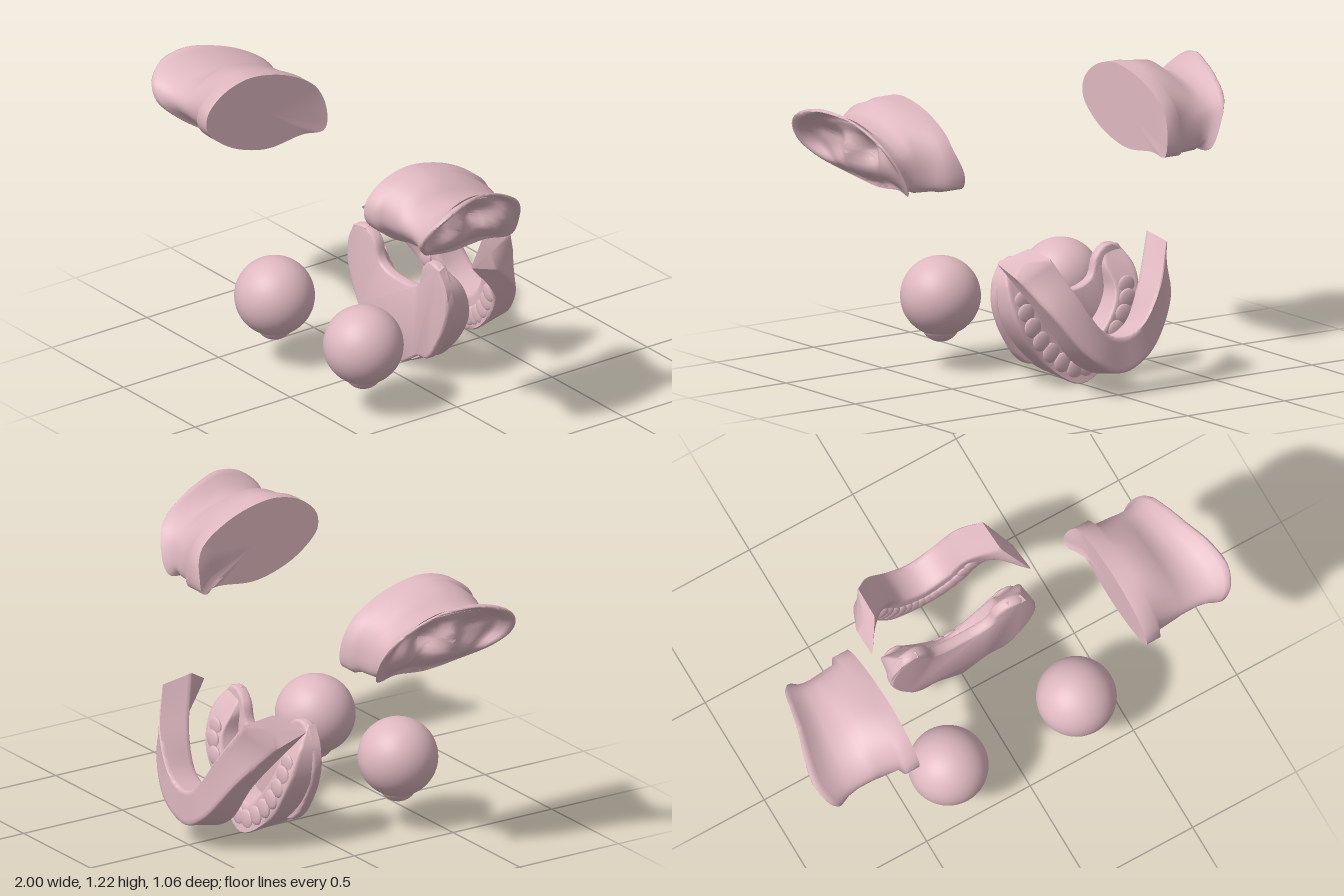
import * as THREE from 'three';
import { toCreasedNormals } from 'three/addons/utils/BufferGeometryUtils.js';

const V = (x, y, z) => new THREE.Vector3(x, y, z);
const { lerp, smoothstep } = THREE.MathUtils;
const skin = new THREE.MeshStandardMaterial({ color: 0xdfb8c1 });

// Closed skin over a list of rings, capped at both ends and wound outwards
function loft(rings, crease) {
  const n = rings[0].length, last = rings.length - 1;
  const pts = rings.flat();
  const centre = (r) => r.reduce((a, p) => a.add(p), V(0, 0, 0)).divideScalar(n);
  pts.push(centre(rings[0]), centre(rings[last]));
  const idx = [];
  for (let j = 0; j < n; j++) {
    const k = (j + 1) % n;
    for (let i = 0; i < last; i++) {
      const a = i * n + j, b = i * n + k;
      idx.push(a, b, a + n, b, b + n, a + n);
    }
    idx.push(pts.length - 2, k, j, pts.length - 1, last * n + j, last * n + k);
  }
  let volume = 0;
  for (let i = 0; i < idx.length; i += 3) {
    volume += pts[idx[i]].dot(pts[idx[i + 1]].clone().cross(pts[idx[i + 2]]));
  }
  if (volume < 0) idx.reverse();
  const g = new THREE.BufferGeometry().setFromPoints(pts);
  g.setIndex(idx);
  return toCreasedNormals(g, crease);
}

function add(parent, name, geometry) {
  const m = new THREE.Mesh(geometry, skin);
  m.name = name;
  parent.add(m);
  return m;
}

// Ear: flat inner plate, groove behind the shell, flaring rim, folded bowl
function earGeometry(side) {
  const rim = new THREE.CatmullRomCurve3([
    [0.97, 1.11, 0.505], [1.0, 1.18, 0.43], [0.98, 1.215, 0.31], [0.94, 1.2, 0.18],
    [0.91, 1.155, 0.06], [0.88, 1.085, -0.04], [0.83, 0.99, -0.085], [0.78, 0.885, -0.075],
    [0.75, 0.885, 0.04], [0.74, 0.87, 0.2], [0.78, 0.905, 0.34], [0.87, 0.97, 0.45],
    [0.93, 1.04, 0.51],
  ].map((p) => V(...p)), true).getSpacedPoints(96).slice(0, -1);
  const hill = (z, y, cz, cy, rz, ry) => Math.exp(-(((z - cz) / rz) ** 2) - ((y - cy) / ry) ** 2);
  // s scales the outline along z; top and low scale its upper and lower half
  const ring = (s, fx, { bumps = 0, top = s, low = s } = {}) => rim.map((p) => {
    const z = lerp(0.2, p.z, s), y = lerp(1.04, p.y, p.y > 1.04 ? top : low);
    // tragus, inner fold, lobe swelling and the hollows between them
    const fold = 0.05 * hill(z, y, 0.26, 0.95, 0.1, 0.06) + 0.06 * hill(z, y, 0.25, 1.05, 0.05, 0.06)
      + 0.04 * hill(z, y, 0.03, 1.0, 0.06, 0.08) - 0.05 * hill(z, y, 0.14, 1.04, 0.06, 0.05)
      - 0.02 * hill(z, y, 0.37, 1.1, 0.07, 0.04);
    return V(side * (fx(p.x, z, y) + bumps * fold), y, z);
  });
  const inner = (d, t) => (x) => lerp(x - d * smoothstep(x, 0.8, 0.95), 0.81, t);
  const bump = side > 0 ? 0.045 : 0.012;
  return loft([
    ring(0.75, () => 0.55),
    ring(1.04, (x, z, y) => 0.55 - bump * smoothstep(-z, 0, 0.08) * smoothstep(-y, -1.08, -0.92),
      { top: 1.03, low: 1 }),
    ring(1.04, () => 0.615, { top: 1.03, low: 1 }),
    ring(0.94, () => 0.63, { top: 1.02, low: 0.99 }),
    ring(0.91, () => 0.72, { top: 0.98, low: 0.97 }),
    ring(0.9, (x) => lerp(0.73, x, 0.1), { top: 0.74, low: 0.94 }),
    ring(0.9, (x) => lerp(0.73, x, 0.45), { top: 0.62 }),
    ring(0.93, (x) => lerp(0.73, x, 0.7), { top: 0.72 }),
    ring(0.98, (x) => lerp(0.73, x, 0.87), { top: 0.92 }),
    ring(1.0, (x) => lerp(0.73, x, 0.96)),
    ring(0.98, (x) => x),
    ring(0.94, (x) => x),
    ring(0.89, inner(0.02, 0), { bumps: 0.2 }),
    ring(0.84, inner(0.06, 0.02), { bumps: 0.5 }),
    ring(0.78, inner(0.07, 0.12), { bumps: 0.8 }),
    ring(0.7, inner(0.06, 0.28), { bumps: 1 }),
    ring(0.6, inner(0.05, 0.45), { bumps: 1 }),
    ring(0.48, inner(0.05, 0.68), { bumps: 1 }),
    ring(0.36, inner(0.05, 0.85), { bumps: 1 }),
    ring(0.22, inner(0.05, 0.95), { bumps: 1 }),
    ring(0.08, inner(0.05, 1), { bumps: 1 }),
  ], 1.2);
}

// Curved jaw bar: four rails from the middle to one tip, mirrored to the other
function jaw(sections) {
  const whole = [
    ...sections.slice(1).reverse().map((s) => s.map(([x, y, z]) => [-x, y, z])),
    ...sections,
  ];
  const rails = [0, 1, 2, 3].map((c) => new THREE.CatmullRomCurve3(whole.map((s) => V(...s[c]))));
  const rings = [];
  for (let i = 0; i <= 48; i++) {
    const corners = rails.map((r) => r.getPoint(i / 48));
    const ring = [];
    corners.forEach((p, c) => {
      const q = corners[(c + 1) % 4];
      for (const t of [0.04, 0.15, 0.5, 0.85, 0.96]) ring.push(p.clone().lerp(q, t));
    });
    rings.push(ring);
  }
  return { geometry: loft(rings, 0.9), rails };
}

// Low rounded teeth sunk into the line between two rails
function addTeeth(parent, railA, railB, mix, count, from, to, size) {
  const teeth = new THREE.Group();
  teeth.name = 'teeth';
  for (let i = 0; i < count; i++) {
    const t = lerp(from, to, i / (count - 1));
    const tooth = add(teeth, 'tooth', new THREE.SphereGeometry(size, 14, 10));
    tooth.position.copy(railA.getPoint(t)).lerp(railB.getPoint(t), mix);
    tooth.scale.set(1.2, 1.2, 0.35);
  }
  parent.add(teeth);
}

export function createModel() {
  const model = new THREE.Group();

  for (const side of [1, -1]) {
    const label = side > 0 ? 'left' : 'right';
    add(model, label + 'Ear', earGeometry(side));

    // Eyeball with the cornea facing down
    const eye = new THREE.Group();
    eye.name = label + 'Eye';
    eye.position.set(side * 0.31, 0.321, 0.349);
    add(eye, 'eyeball', new THREE.SphereGeometry(0.17, 48, 32));
    add(eye, 'cornea', new THREE.SphereGeometry(0.085, 32, 20)).position.y = -0.112;
    model.add(eye);
  }

  // Upper jaw, standing at the back with its tips reaching forward
  const upper = new THREE.Group();
  upper.name = 'upperJaw';
  const u = jaw([
    [[0, 0.105, -0.532], [0, 0.26, -0.535], [0, 0.24, -0.395], [0, 0.08, -0.395]],
    [[0.15, 0.175, -0.53], [0.1, 0.3, -0.535], [0.1, 0.28, -0.395], [0.15, 0.14, -0.385]],
    [[0.305, 0.37, -0.455], [0.21, 0.45, -0.51], [0.18, 0.42, -0.375], [0.285, 0.33, -0.36]],
    [[0.38, 0.51, -0.31], [0.3, 0.615, -0.435], [0.305, 0.635, -0.28], [0.385, 0.56, -0.16]],
  ]);
  add(upper, 'upperGum', u.geometry);
  addTeeth(upper, u.rails[2], u.rails[3], 0.6, 14, 0.2, 0.8, 0.034);
  model.add(upper);

  // Lower jaw: front plate with a rounded notch, and the arch behind it
  const lower = new THREE.Group();
  lower.name = 'lowerJaw';
  const half = [[0.08, 0.395], [0.14, 0.43], [0.165, 0.51], [0.22, 0.555], [0.28, 0.55], [0.33, 0.48],
    [0.35, 0.38], [0.32, 0.27], [0.27, 0.18], [0.235, 0.13], [0.19, 0.095], [0.13, 0.085], [0.06, 0.04]];
  const outline = new THREE.CatmullRomCurve3([
    V(0, 0.387, 0), ...half.map(([x, y]) => V(x, y, 0)), V(0, 0.01, 0),
    ...half.map(([x, y]) => V(-x, y, 0)).reverse(),
  ], true).getPoints(100).slice(0, -1);
  const plate = new THREE.ExtrudeGeometry(new THREE.Shape(outline.map((p) => new THREE.Vector2(p.x, p.y))), {
    depth: 0.02, bevelThickness: 0.015, bevelSize: 0.01, bevelOffset: -0.01, bevelSegments: 3,
  });
  plate.translate(0, 0, -0.108);
  // bow the plate so its middle sits a little further back
  const pos = plate.attributes.position;
  for (let i = 0; i < pos.count; i++) {
    pos.setZ(i, pos.getZ(i) + 0.015 * Math.min(1, (pos.getX(i) / 0.25) ** 2));
  }
  plate.deleteAttribute('normal');
  add(lower, 'jawPlate', toCreasedNormals(plate, 0.9));
  const l = jaw([
    [[0, 0.025, -0.08], [0, 0.15, -0.1], [0, 0.13, -0.215], [0, 0.005, -0.24]],
    [[0.18, 0.11, -0.075], [0.12, 0.22, -0.1], [0.12, 0.21, -0.22], [0.19, 0.12, -0.215]],
    [[0.33, 0.3, -0.065], [0.2, 0.36, -0.1], [0.21, 0.36, -0.195], [0.31, 0.3, -0.21]],
    [[0.345, 0.45, -0.06], [0.18, 0.49, -0.075], [0.2, 0.48, -0.13], [0.33, 0.45, -0.165]],
    [[0.3, 0.54, -0.058], [0.22, 0.55, -0.06], [0.22, 0.56, -0.085], [0.29, 0.55, -0.09]],
  ]);
  add(lower, 'lowerGum', l.geometry);
  addTeeth(lower, l.rails[2], l.rails[3], 0.5, 14, 0.2, 0.8, 0.036);
  model.add(lower);

  return model;
}
